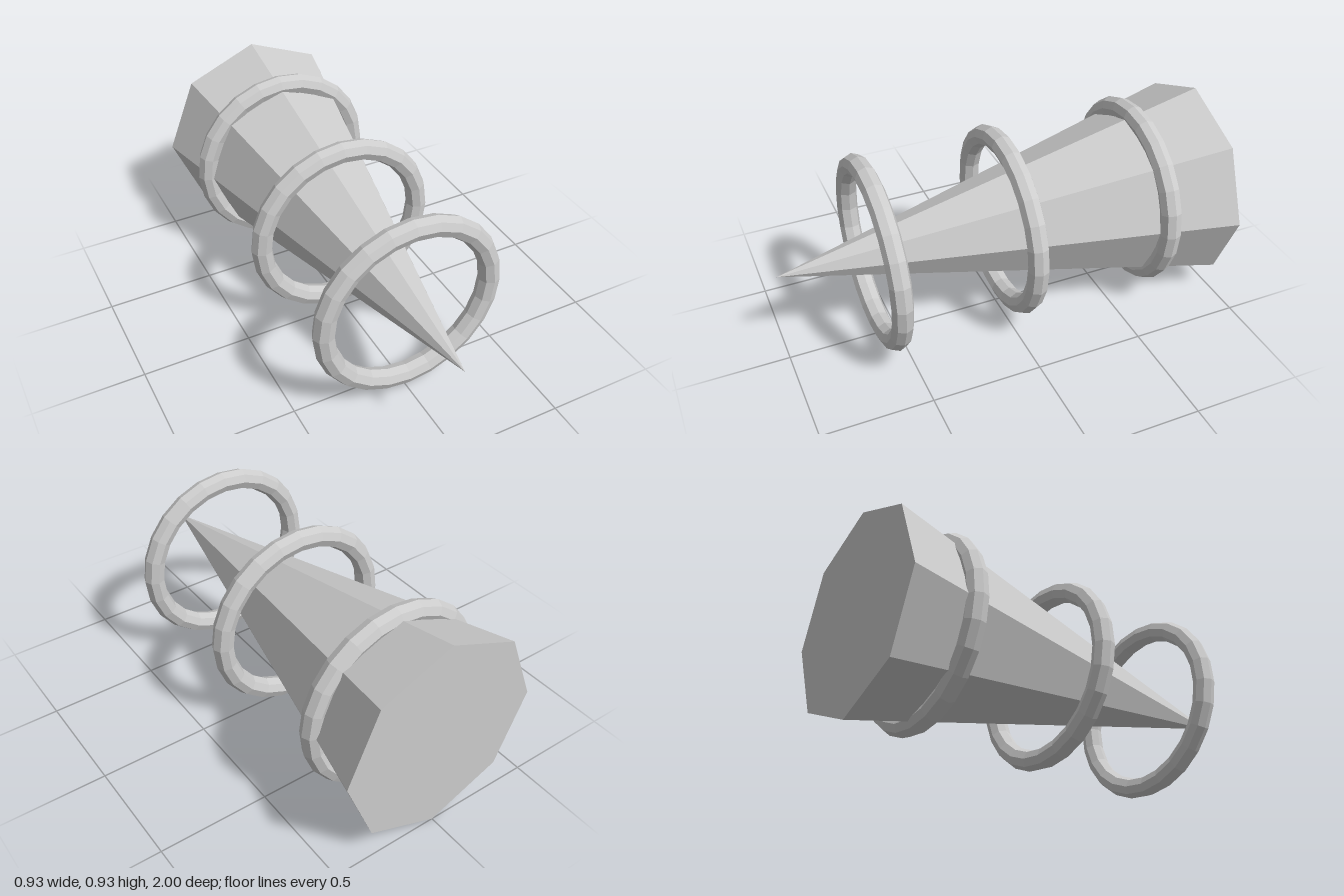
import * as THREE from 'three';

export function createModel() {
  const group = new THREE.Group();
  const grey = new THREE.MeshStandardMaterial({ color: 0xcccccc, flatShading: true });
  grey.name = 'light grey';
  const axisY = 0.465;

  // Eight-sided spike lying along z, tip to the front, closed at the back
  const spikeGeometry = new THREE.ConeGeometry(0.465, 2, 8, 1);
  spikeGeometry.rotateX(Math.PI / 2);
  const spike = new THREE.Mesh(spikeGeometry, grey);
  spike.name = 'spike';
  spike.position.y = axisY;
  group.add(spike);

  // Three equal rings around the spike
  const ringGeometry = new THREE.TorusGeometry(0.393, 0.048, 8, 24);
  const rings = { frontRing: 0.576, middleRing: -0.033, rearRing: -0.68 };
  for (const [name, z] of Object.entries(rings)) {
    const ring = new THREE.Mesh(ringGeometry, grey);
    ring.name = name;
    ring.position.set(0, axisY, z);
    group.add(ring);
  }

  return group;
}
